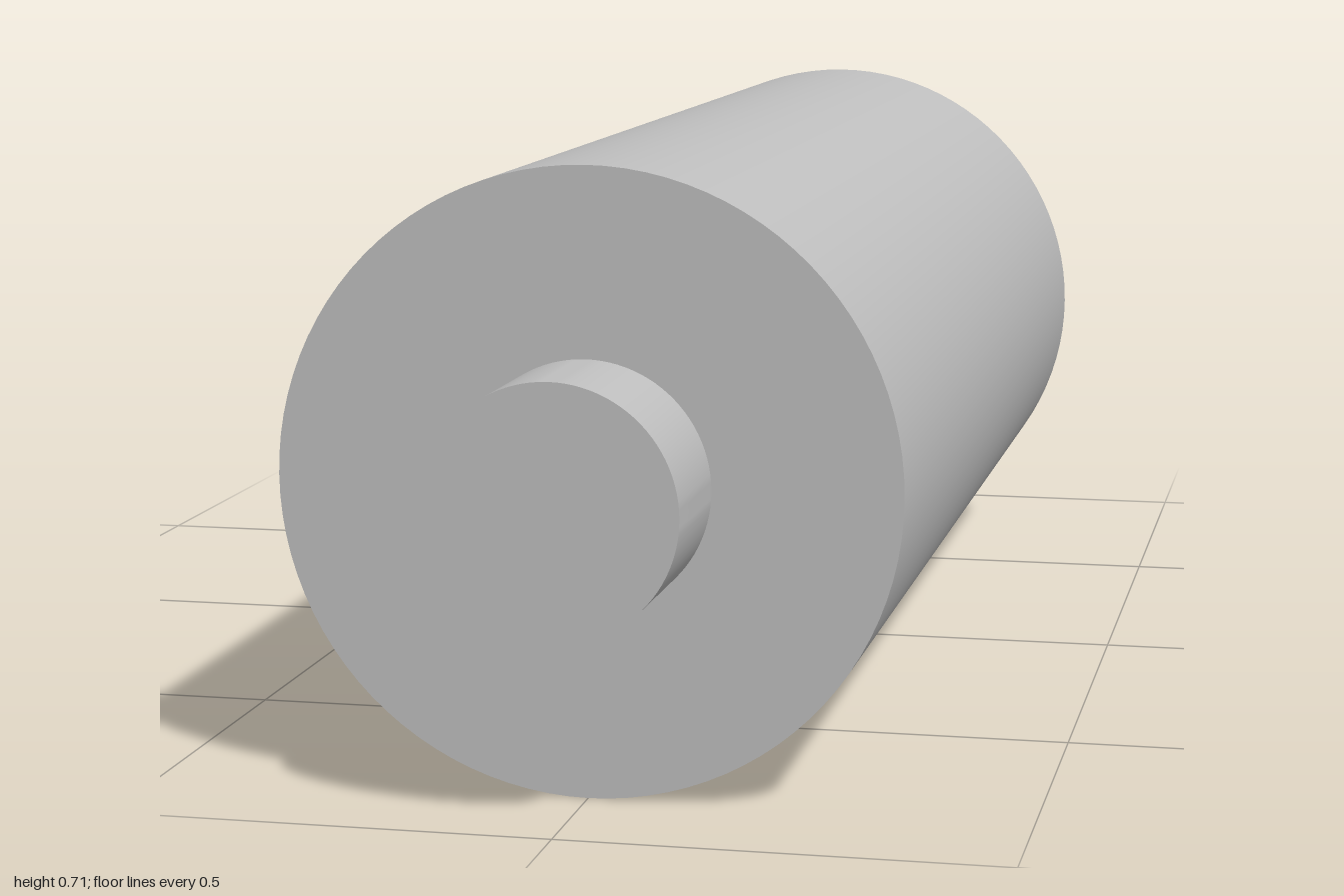
import * as THREE from 'three';
import { toCreasedNormals } from 'three/addons/utils/BufferGeometryUtils.js';

const BODY_R = 0.354, SHAFT_R = 0.141, BORE_R = 0.057;
const BODY_FRONT = 0.84, BODY_BACK = -0.79, BORE_END = -0.6;

export function createModel() {
  const roller = new THREE.Group();
  roller.name = 'roller';
  const grey = new THREE.MeshStandardMaterial({ color: 0xbfbfbf });
  grey.name = 'grey';

  // Turns a [radius, z] profile, listed from back to front, around the z axis
  function turned(name, profile) {
    const points = profile.map(([r, z]) => new THREE.Vector2(r, z));
    const geometry = new THREE.LatheGeometry(points, 96).rotateX(Math.PI / 2);
    const mesh = new THREE.Mesh(toCreasedNormals(geometry, 0.6), grey);
    mesh.name = name;
    mesh.position.y = BODY_R;
    roller.add(mesh);
  }

  // Wide drum with ring-shaped end faces
  turned('drum', [[SHAFT_R, BODY_BACK], [BODY_R, BODY_BACK], [BODY_R, BODY_FRONT], [SHAFT_R, BODY_FRONT]]);

  // Solid shaft end at the front
  turned('frontShaft', [[SHAFT_R, BODY_FRONT], [SHAFT_R, 1], [0, 1]]);

  // Shaft end at the back, with a blind bore
  turned('backShaft', [[0, BORE_END], [BORE_R, BORE_END], [BORE_R, -1], [SHAFT_R, -1], [SHAFT_R, BODY_BACK]]);

  return roller;
}
